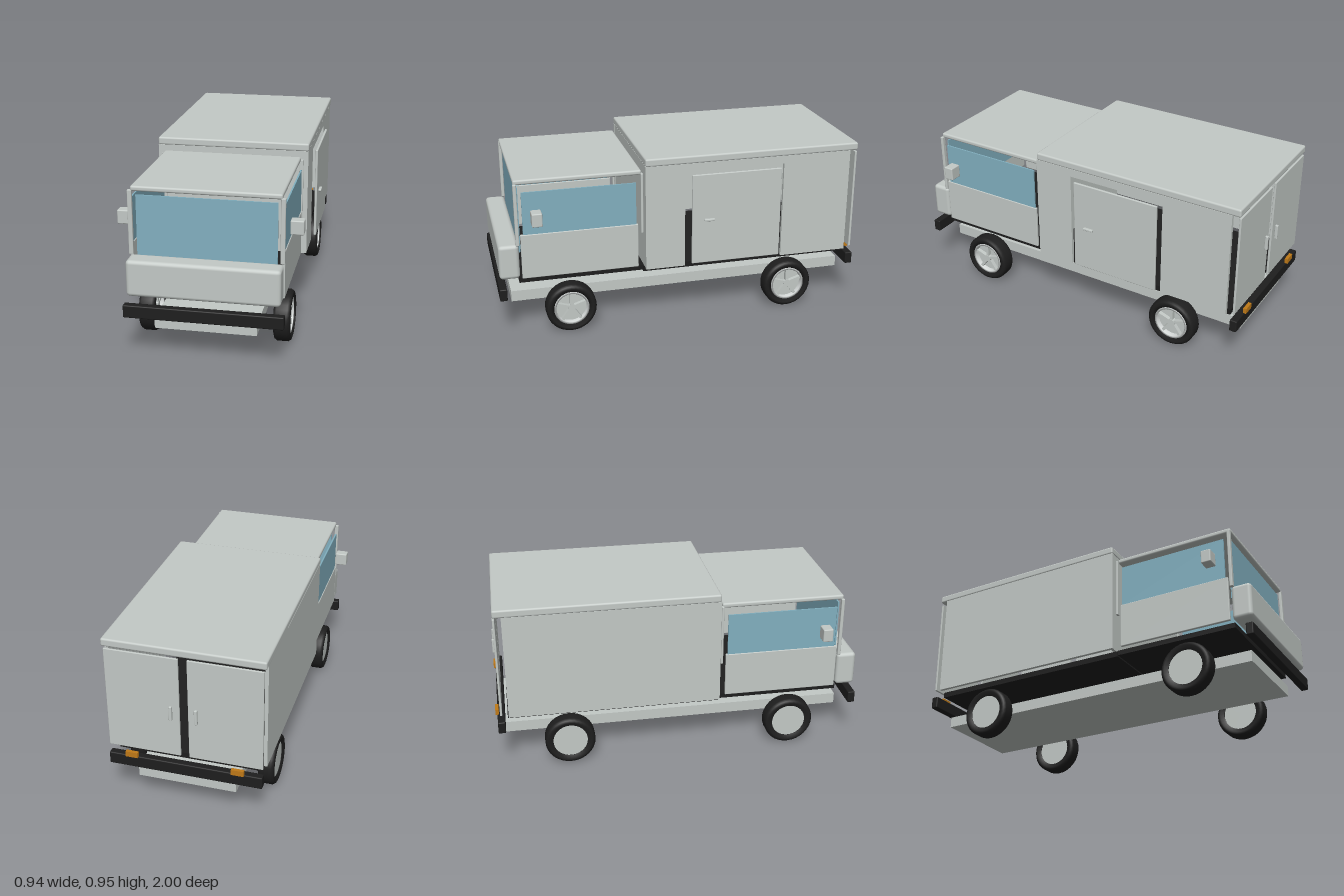
import * as THREE from 'three';
import { RoundedBoxGeometry } from 'three/addons/geometries/RoundedBoxGeometry.js';

const makeMat = (name, color) => {
  const m = new THREE.MeshStandardMaterial({ color });
  m.name = name;
  return m;
};

export function createModel() {
  const van = new THREE.Group();
  van.name = 'van';
  const body = makeMat('body grey', 0xc3c9c6);
  const glass = makeMat('window blue', 0x82b0c0);
  const black = makeMat('rubber black', 0x1e1e1e);
  const amber = makeMat('lamp amber', 0xc07a18);
  const silver = makeMat('rim silver', 0xd4d8d7);

  // Box given by its limits on each axis; r > 0 rounds the edges
  function box(name, mat, [x0, x1], [y0, y1], [z0, z1], r = 0, parent = van) {
    const s = [x1 - x0, y1 - y0, z1 - z0];
    const geo = r ? new RoundedBoxGeometry(...s, 2, r) : new THREE.BoxGeometry(...s);
    const mesh = new THREE.Mesh(geo, mat);
    mesh.position.set((x0 + x1) / 2, (y0 + y1) / 2, (z0 + z1) / 2);
    mesh.name = name;
    parent.add(mesh);
    return mesh;
  }
  // Same box on both sides of the van
  function pair(name, mat, [x0, x1], y, z, r = 0) {
    box('left' + name, mat, [x0, x1], y, z, r);
    box('right' + name, mat, [-x1, -x0], y, z, r);
  }

  // Chassis, floors and bumpers
  box('chassis', body, [-0.26, 0.26], [0.155, 0.215], [-0.955, 0.93]);
  box('cabFloor', black, [-0.36, 0.36], [0.308, 0.335], [0.22, 0.89]);
  box('cargoFloor', black, [-0.365, 0.365], [0.3, 0.33], [-0.935, 0.22]);
  box('frontBumper', black, [-0.403, 0.403], [0.23, 0.297], [0.96, 1.0], 0.006);
  box('rearBumper', black, [-0.403, 0.403], [0.23, 0.297], [-0.99, -0.95], 0.006);
  pair('RearLamp', amber, [0.245, 0.31], [0.295, 0.325], [-1.0, -0.982]);

  // Cab
  box('nose', body, [-0.385, 0.385], [0.342, 0.532], [0.885, 0.993], 0.02);
  box('cabRoof', body, [-0.375, 0.375], [0.858, 0.885], [0.228, 0.898], 0.01);
  box('windshield', glass, [-0.352, 0.352], [0.48, 0.836], [0.874, 0.882]);
  pair('CabSide', body, [0.372, 0.388], [0.342, 0.588], [0.25, 0.875], 0.004);
  pair('SideWindow', glass, [0.376, 0.384], [0.588, 0.82], [0.26, 0.86]);
  pair('FrontPillar', body, [0.367, 0.39], [0.53, 0.865], [0.882, 0.9], 0.004);
  pair('RearPillar', body, [0.367, 0.39], [0.535, 0.87], [0.222, 0.235], 0.004);
  pair('Mirror', body, [0.402, 0.47], [0.657, 0.73], [0.765, 0.82], 0.006);

  // Cargo box: the left wall has a doorway
  const wallY = [0.33, 0.912], leftX = [0.395, 0.413];
  box('rightWall', body, [-0.413, -0.395], wallY, [-0.93, 0.215]);
  box('leftWallFront', body, leftX, wallY, [0, 0.215]);
  box('leftWallRear', body, leftX, wallY, [-0.93, -0.55]);
  box('leftWallLintel', body, leftX, [0.868, 0.912], [-0.55, 0]);
  box('partition', body, [-0.396, 0.396], wallY, [0.197, 0.213]);
  box('cargoRoof', body, [-0.415, 0.415], [0.91, 0.953], [-0.975, 0.215], 0.01);

  // Sliding side door and twin rear doors
  box('slidingDoor', body, [0.424, 0.438], [0.348, 0.853], [-0.53, -0.033], 0.004);
  box('slidingDoorHandle', body, [0.438, 0.455], [0.592, 0.605], [-0.155, -0.098], 0.004);
  pair('RearDoor', body, [0.022, 0.403], [0.338, 0.9], [-0.975, -0.963], 0.003);
  pair('RearDoorHandle', body, [0.057, 0.073], [0.55, 0.632], [-0.992, -0.975], 0.004);

  // Wheels: shapes turned around the axle; spokes face the same way on all four
  const v = (r, y) => new THREE.Vector2(r, y);
  const tireGeo = new THREE.LatheGeometry([
    v(0.094, -0.034), v(0.115, -0.045), v(0.128, -0.041), v(0.137, -0.028),
    v(0.137, 0.028), v(0.128, 0.041), v(0.115, 0.045), v(0.094, 0.034), v(0.094, -0.034),
  ], 32);
  const ringGeo = new THREE.LatheGeometry([
    v(0.084, 0), v(0.096, 0), v(0.096, 0.036), v(0.084, 0.036), v(0.084, 0),
  ], 32);
  const discGeo = new THREE.CylinderGeometry(0.095, 0.095, 0.04, 32);
  const hubGeo = new THREE.CylinderGeometry(0.02, 0.02, 0.03, 20);
  function wheel(name, x, z) {
    const g = new THREE.Group();
    g.name = name;
    const add = (part, geo, mat, y) => {
      const m = new THREE.Mesh(geo, mat);
      m.name = part;
      m.position.y = y;
      g.add(m);
    };
    add('tire', tireGeo, black, 0);
    add('rimRing', ringGeo, silver, 0);
    add('rimDisc', discGeo, body, -0.012);
    add('hub', hubGeo, body, 0.018);
    for (let i = 0; i < 5; i++) {
      const arm = new THREE.Group();
      arm.name = 'spoke';
      arm.rotation.y = (i / 5) * Math.PI * 2;
      box('spokeBar', body, [-0.088, -0.01], [0.006, 0.03], [-0.008, 0.008], 0, arm);
      g.add(arm);
    }
    g.rotation.z = -Math.PI / 2;
    g.position.set(x, 0.14, z);
    van.add(g);
  }
  for (const [side, x] of [['left', 0.355], ['right', -0.355]]) {
    wheel(side + 'FrontWheel', x, 0.622);
    wheel(side + 'RearWheel', x, -0.608);
  }
  return van;
}
